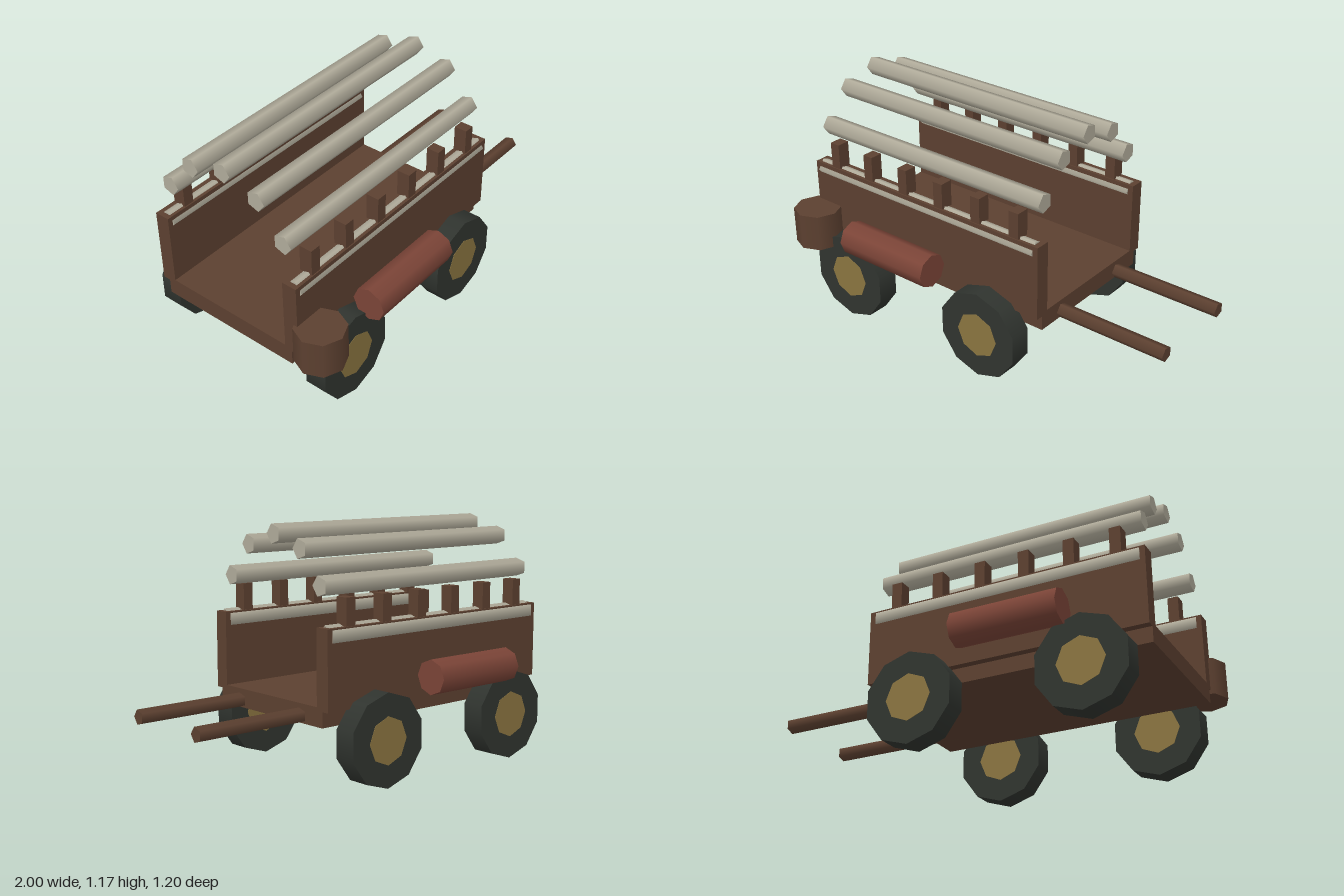
import * as THREE from 'three';

const paint = (color) => new THREE.MeshStandardMaterial({ color });

export function createModel() {
  const wagon = new THREE.Group();
  wagon.name = 'wagon';
  wagon.position.z = 0.002;

  const wood = paint(0x5c4030);
  const tyreDark = paint(0x30342f);
  const hubGold = paint(0x8a7440);
  const canvas = paint(0xb0ab9a);
  const red = paint(0x7b4437);

  const add = (name, geometry, material, x, y, z) => {
    const mesh = new THREE.Mesh(geometry, material);
    mesh.name = name;
    mesh.position.set(x, y, z);
    wagon.add(mesh);
    return mesh;
  };
  const box = (name, w, h, d, x, y, z) =>
    add(name, new THREE.BoxGeometry(w, h, d), wood, x, y, z);
  // Low-sided rod lying along x, one corner pointing to +z
  const rod = (name, r, x0, x1, sides, material, y, z) => {
    const geometry = new THREE.CylinderGeometry(r, r, x1 - x0, sides).rotateZ(Math.PI / 2);
    return add(name, geometry, material, (x0 + x1) / 2, y, z);
  };
  // Disc with its axle along z
  const disc = (name, r, width, sides, material, x, y, z) => {
    const geometry = new THREE.CylinderGeometry(r, r, width, sides).rotateX(Math.PI / 2);
    return add(name, geometry, material, x, y, z);
  };

  // Open-ended bed
  box('floor', 1.38, 0.09, 0.74, -0.255, 0.344, 0);

  for (const side of [1, -1]) {
    box('sideWall', 1.38, 0.37, 0.074, -0.255, 0.557, side * 0.37);

    // Short posts standing on the wall
    for (let i = 0; i < 6; i++) {
      box('post', 0.053, 0.27, 0.064, -0.81 + i * 0.2214, 0.735, side * 0.37);
    }

    // Wheels with hubs showing on both faces
    for (const x of [-0.671, 0.158]) {
      disc('wheel', 0.221, 0.11, 10, tyreDark, x, 0.222, side * 0.444);
      disc('hub', 0.113, 0.114, 8, hubGold, x, 0.222, side * 0.444);
    }

    // Pulling shaft and side roll
    rod('shaft', 0.0364, 0.3, 1, 5, wood, 0.333, side * 0.2215);
    rod('sideRoll', 0.083, -0.605, -0.09, 8, red, 0.481, side * 0.517);
  }

  // Seven rods arranged on an arch over the bed
  for (let i = 0; i <= 6; i++) {
    const a = (i * Math.PI) / 6;
    rod('canopyRod', 0.048, -0.92, 0.407, 5, canvas,
      0.706 + 0.424 * Math.sin(a), 0.37 * Math.cos(a));
  }

  // Water barrel at one rear corner
  add('barrel', new THREE.CylinderGeometry(0.118, 0.118, 0.183, 8), wood, -0.882, 0.445, 0.48);

  const model = new THREE.Group();
  model.name = 'model';
  model.add(wagon);
  return model;
}
